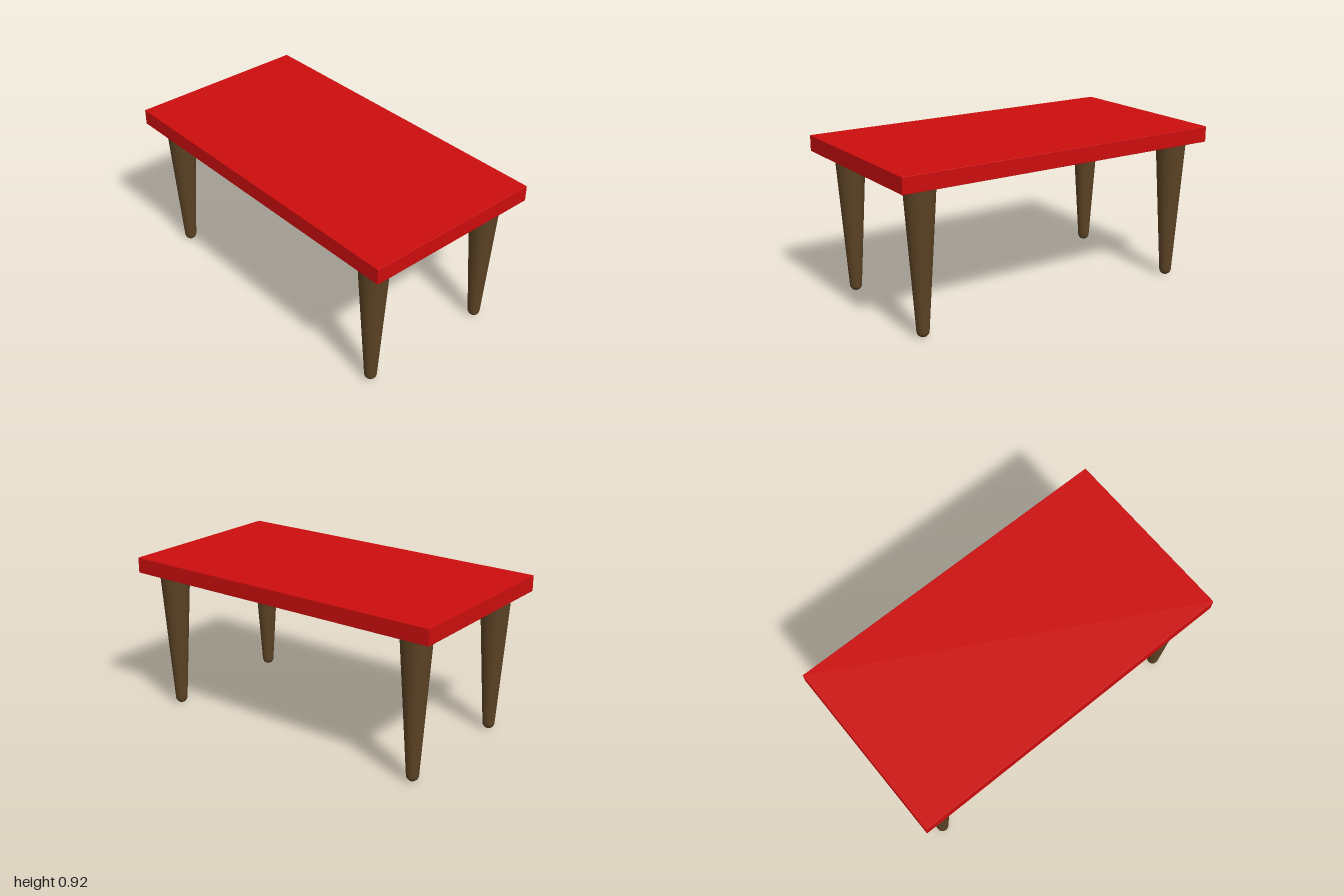
import * as THREE from 'three';
import { RoundedBoxGeometry } from 'three/addons/geometries/RoundedBoxGeometry.js';

const red = new THREE.MeshStandardMaterial({ name: 'red paint', color: 0xcc0d0d });
const brown = new THREE.MeshStandardMaterial({ name: 'brown wood', color: 0x5c4324 });

// Tapered leg with a hemispherical foot, open where it enters the tabletop
function legGeometry() {
  const foot = 0.035, profile = [];
  for (let i = 0; i <= 8; i++) {
    const a = (i / 8) * Math.PI / 2;
    profile.push(new THREE.Vector2(foot * Math.sin(a), foot * (1 - Math.cos(a))));
  }
  profile.push(new THREE.Vector2(0.088, 0.835));
  return new THREE.LatheGeometry(profile, 32);
}

export function createModel() {
  const table = new THREE.Group();
  table.name = 'table';

  // Slab with barely softened edges
  const top = new THREE.Mesh(new RoundedBoxGeometry(1.08, 0.092, 2, 2, 0.003), red);
  top.name = 'tabletop';
  top.position.y = 0.874;
  table.add(top);

  // Four legs, set slightly unevenly
  const geometry = legGeometry();
  const legs = [
    ['frontLeftLeg', 0.41, 0.835],
    ['frontRightLeg', -0.398, 0.826],
    ['backLeftLeg', 0.41, -0.848],
    ['backRightLeg', -0.398, -0.848],
  ];
  for (const [name, x, z] of legs) {
    const leg = new THREE.Mesh(geometry, brown);
    leg.name = name;
    leg.position.set(x, 0, z);
    table.add(leg);
  }
  return table;
}
